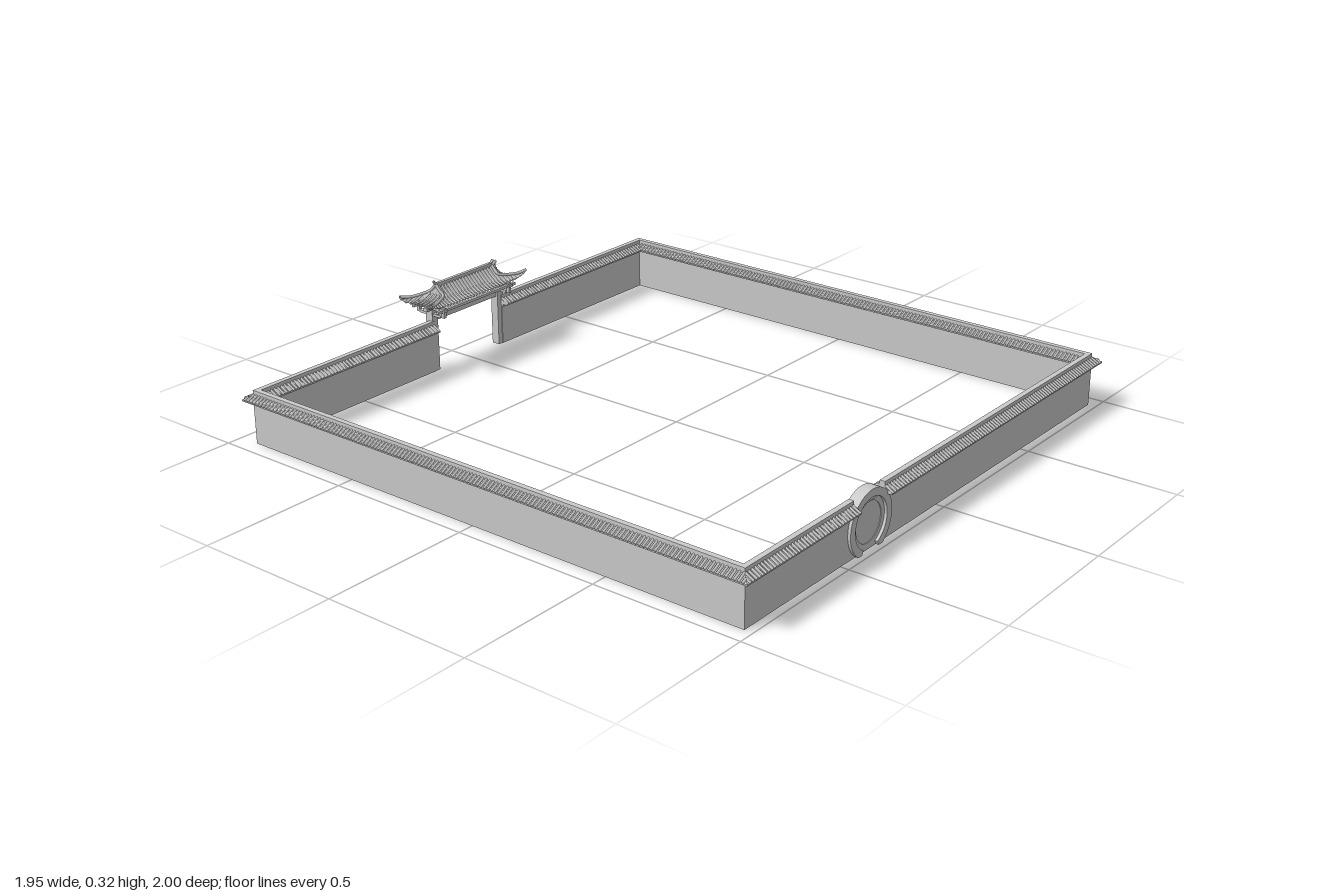
import * as THREE from 'three';
import { mergeGeometries } from 'three/addons/utils/BufferGeometryUtils.js';

const grey = new THREE.MeshStandardMaterial({ color: 0xcccccc, side: THREE.DoubleSide });
const V = (x, y, z) => new THREE.Vector3(x, y, z);

function add(parent, name, geometry) {
  const mesh = new THREE.Mesh(geometry, grey);
  mesh.name = name;
  parent.add(mesh);
  return mesh;
}

function box(w, h, d, x, y, z) {
  return new THREE.BoxGeometry(w, h, d).translate(x, y, z);
}

// round bar between two points
function bar(p, q, r) {
  const d = q.clone().sub(p);
  const g = new THREE.CylinderGeometry(r, r, d.length(), 6);
  g.applyQuaternion(new THREE.Quaternion().setFromUnitVectors(V(0, 1, 0), d.normalize()));
  const m = p.clone().add(q).multiplyScalar(0.5);
  return g.translate(m.x, m.y, m.z);
}

function tube(points, r, segments = 6) {
  return new THREE.TubeGeometry(new THREE.CatmullRomCurve3(points), segments, r, 6);
}

// symmetric (z, y) profile swept along x from a to b, mitred where it meets a corner
function sweep(profile, a, b, half) {
  const shape = new THREE.Shape(profile.map(([z, y]) => new THREE.Vector2(z, y)));
  const g = new THREE.ExtrudeGeometry(shape, { depth: 1, bevelEnabled: false }).rotateY(Math.PI / 2);
  const p = g.attributes.position;
  for (let i = 0; i < p.count; i++) {
    const z = p.getZ(i);
    if (p.getX(i) < 0.5) p.setX(i, a - (a === -half ? z : 0));
    else p.setX(i, b + (b === half ? z : 0));
  }
  g.computeVertexNormals();
  return g;
}

const rect = (w, y0, y1) => [[-w, y0], [w, y0], [w, y1], [-w, y1]];
const ROOF = 0.034;

// tiled coping on one stretch of wall
function coping(parent, a, b, half) {
  add(parent, 'wallRoof', sweep([[-ROOF, 0.146], [ROOF, 0.146], [ROOF, 0.151], [0, 0.17], [-ROOF, 0.151]], a, b, half));
  add(parent, 'wallRidge', sweep(rect(0.009, 0.16, 0.181), a, b, half));
  add(parent, 'wallCornice', sweep(rect(0.016, 0.138, 0.147), a, b, half));
  const tiles = [], step = 0.0137;
  const start = a === -half ? a - ROOF : a + 0.005, end = b === half ? b + ROOF : b - 0.005;
  const n = Math.round((end - start) / step);
  const y = z => 0.171 - 0.55 * z;
  for (let i = 0; i <= n; i++) {
    const x = start + (end - start) * i / n;
    // distance past the corner, on whichever end is mitred
    const over = Math.max(a === -half ? a - x : -1, b === half ? x - b : -1);
    const z0 = Math.max(0, over);
    if (z0 < ROOF - 0.006) tiles.push(bar(V(x, y(z0), z0), V(x, y(0.036), 0.036), 0.0043));
    const z1 = Math.min(0.036, -over);
    if (z1 > 0.006) tiles.push(bar(V(x, y(0), 0), V(x, y(z1), -z1), 0.0043));
  }
  add(parent, 'wallTiles', mergeGeometries(tiles));
}

function side(parent, name, angle, dist) {
  const frame = new THREE.Group();
  frame.name = name;
  frame.rotation.y = angle;
  const inner = new THREE.Group();
  inner.position.z = dist;
  frame.add(inner);
  parent.add(frame);
  return inner;
}

// round gateway with a flared foot and a closed panel
function moonGate(parent, x) {
  const g = new THREE.Group();
  g.name = 'moonGate';
  g.position.x = x;
  parent.add(g);
  const s = new THREE.Shape();
  s.moveTo(0.0616, 0);
  s.absarc(0, 0.085, 0.105, -0.944, Math.PI + 0.944, false);
  s.lineTo(-0.042, 0);
  s.lineTo(-0.036, 0.0135);
  s.absarc(0, 0.085, 0.08, Math.PI + 1.104, -1.104, true);
  s.lineTo(0.042, 0);
  add(g, 'gateRing', new THREE.ExtrudeGeometry(s, { depth: 0.038, bevelEnabled: false, curveSegments: 40 }).translate(0, 0, -0.019));
  add(g, 'gatePanel', new THREE.CylinderGeometry(0.0835, 0.0835, 0.014, 48).rotateX(Math.PI / 2).translate(0, 0.085, 0));
  add(g, 'gateThreshold', box(0.08, 0.02, 0.014, 0, 0.01, 0));
}

// hip-and-gable roof surface: s runs ridge to eave, u and v across
const DEPTH = 0.073, GABLE = 0.45, RIDGE = 0.135;
const halfX = s => RIDGE + 0.1 * Math.pow(Math.max(0, (s - GABLE) / (1 - GABLE)), 1.15);
const roofY = (s, u) => 0.297 - 0.053 * (1 - Math.pow(1 - s, 1.7)) + 0.016 * s * s * Math.pow(Math.abs(u), 6);
const slope = (s, u) => V(u * halfX(s), roofY(s, u), DEPTH * s);
const hip = (s, v) => V(halfX(s) - 0.032 * (1 - v * v) * Math.max(0, (s - GABLE) / (1 - GABLE)), roofY(s, v), v * DEPTH * s);

function grid(fn, nu, ns) {
  const g = new THREE.PlaneGeometry(1, 1, nu, ns);
  const p = g.attributes.position;
  for (let i = 0; i < p.count; i++) {
    const q = fn(0.5 - p.getY(i), p.getX(i) * 2);
    p.setXYZ(i, q.x, q.y, q.z);
  }
  g.computeVertexNormals();
  return g;
}

function pavilion(parent) {
  const g = new THREE.Group();
  g.name = 'gatePavilion';
  g.position.z = -0.004;
  parent.add(g);
  const frame = [];
  for (const k of [-1, 1]) {
    frame.push(box(0.026, 0.25, 0.03, k * 0.16, 0.125, 0));
    for (const [y, len] of [[0.204, 0.1], [0.226, 0.138]]) frame.push(box(0.018, 0.009, len, k * 0.16, y, 0));
    frame.push(box(0.38, 0.009, 0.01, 0, 0.226, k * 0.058));
    frame.push(box(0.36, 0.008, 0.01, 0, 0.24, k * 0.05));
    for (const z of [-0.058, 0.058]) frame.push(box(0.012, 0.035, 0.012, k * 0.16, 0.218, z));
  }
  frame.push(box(0.33, 0.018, 0.016, 0, 0.187, 0), box(0.38, 0.012, 0.016, 0, 0.224, 0));
  add(g, 'gateFrame', mergeGeometries(frame));

  const flip = Math.PI;
  for (const turn of [0, flip]) {
    const half = new THREE.Group();
    half.name = 'roofHalf';
    half.rotation.y = turn;
    g.add(half);
    add(half, 'roofSlope', grid(slope, 32, 10));
    add(half, 'roofEnd', grid(hip, 16, 12));
    // tile ribs on the long slope and on the hipped end
    const ribs = [];
    for (let i = -16; i <= 16; i++) {
      const x = i * 0.0139, ax = Math.abs(x);
      const s0 = ax <= RIDGE ? 0 : GABLE + (1 - GABLE) * Math.pow((ax - RIDGE) / 0.1, 1 / 1.15);
      if (s0 > 0.95) continue;
      ribs.push(tube([0, 0.33, 0.67, 1].map(t => {
        const s = s0 + (1 - s0) * t;
        return slope(s, x / halfX(s));
      }), 0.0042));
    }
    for (let i = -4; i <= 4; i++) {
      const z = i * 0.0145, s0 = Math.max(GABLE, Math.abs(z) / DEPTH);
      ribs.push(tube([0, 0.33, 0.67, 1].map(t => {
        const s = s0 + (1 - s0) * t;
        return hip(s, z / (DEPTH * s));
      }), 0.0042));
    }
    add(half, 'roofTiles', mergeGeometries(ribs));
    // gable and hip ridges with upturned tips
    const ridges = [-1, 1].map(v => tube([0, 0.25, GABLE, 0.65, 0.85, 1].map(s =>
      hip(s, v).add(V(0, 0.003 + (s === 1 ? 0.004 : 0), 0))), 0.0055, 16));
    add(half, 'hipRidges', mergeGeometries(ridges));
    add(half, 'ridgeTip', tube([V(0.12, 0.301, 0), V(0.137, 0.304, 0), V(0.145, 0.313, 0)], 0.005));
  }
  add(g, 'mainRidge', box(0.27, 0.016, 0.012, 0, 0.297, 0));
}

export function createModel() {
  const model = new THREE.Group();
  model.name = 'walledCourtyard';
  const fence = new THREE.Group();
  fence.name = 'boundaryWall';
  fence.position.z = 0.0225;
  model.add(fence);
  const hx = 0.937, hz = 0.9405, T = 0.0095, gateX = -0.365;

  // front wall with the round gateway
  const front = side(fence, 'frontWall', 0, hz);
  const s = new THREE.Shape([[-1, 0], [1, 0], [1, 0.15], [-1, 0.15]].map(([x, y]) => new THREE.Vector2(x * (hx + T), y)));
  s.holes.push(new THREE.Path().absarc(gateX, 0.085, 0.064, 0, Math.PI * 2, true));
  add(front, 'wallBody', new THREE.ExtrudeGeometry(s, { depth: T * 2, bevelEnabled: false, curveSegments: 24 }).translate(0, 0, -T));
  coping(front, -hx, gateX - 0.078, hx);
  coping(front, gateX + 0.078, hx, hx);
  moonGate(front, gateX);

  // plain side walls
  for (const k of [-1, 1]) {
    const wall = side(fence, k > 0 ? 'leftWall' : 'rightWall', k * Math.PI / 2, hx);
    add(wall, 'wallBody', sweep(rect(T, 0, 0.15), -hz, hz, hz));
    coping(wall, -hz, hz, hz);
  }

  // back wall, open under the pavilion
  const back = side(fence, 'backWall', Math.PI, hz);
  for (const [a, b] of [[-hx, -0.165], [0.165, hx]]) {
    add(back, 'wallBody', sweep(rect(T, 0, 0.15), a, b, hx));
    coping(back, a, b, hx);
  }
  const gate = new THREE.Group();
  gate.name = 'backGate';
  gate.position.z = 0.012;
  back.add(gate);
  pavilion(gate);
  return model;
}
